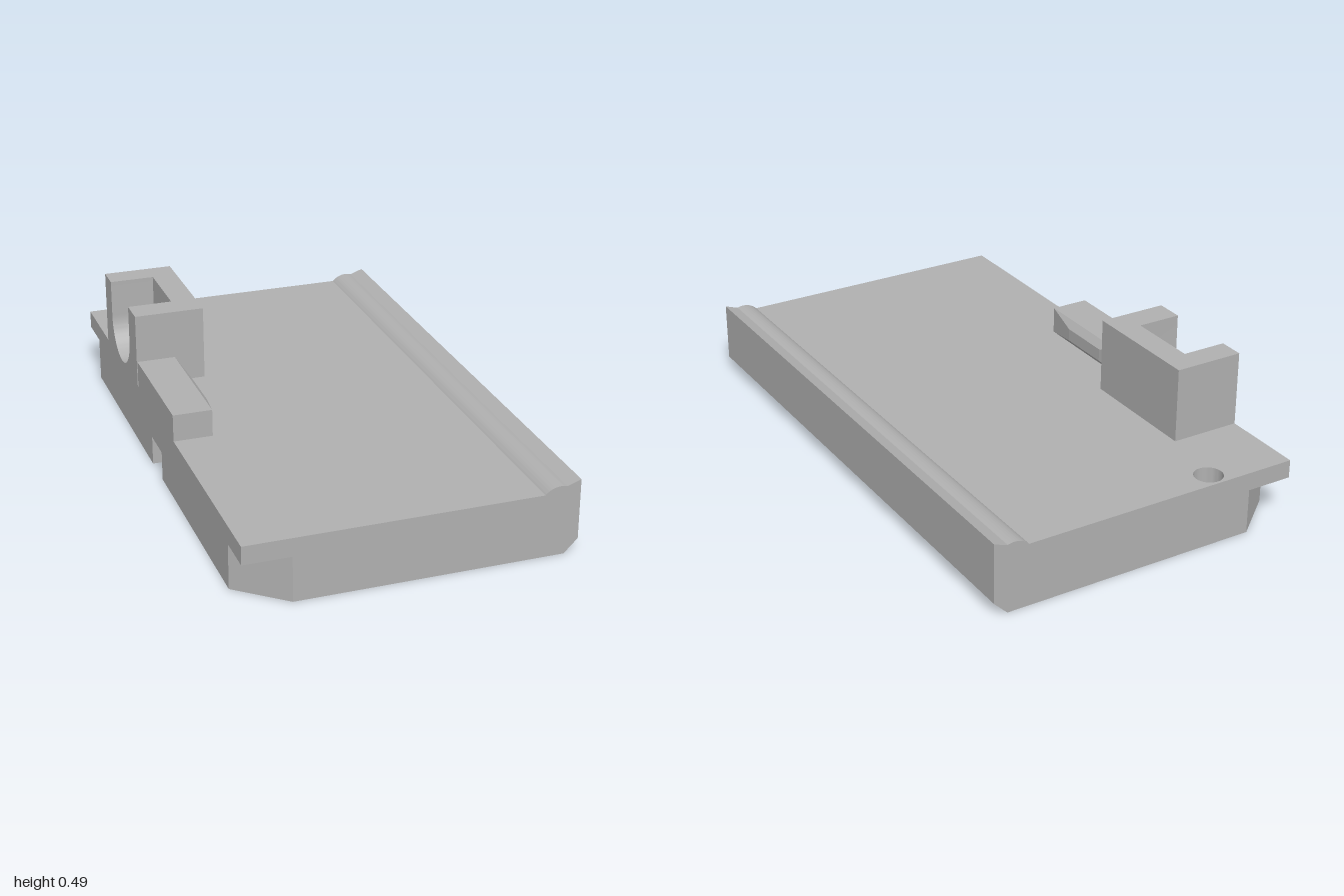
import * as THREE from 'three';
import { toCreasedNormals } from 'three/addons/utils/BufferGeometryUtils.js';

const grey = new THREE.MeshStandardMaterial({ color: 0xb0b0b0 });
grey.name = 'grey';

const points = (list) => list.map(([x, y]) => new THREE.Vector2(x, y));

function extrude(shape, depth) {
  const geo = new THREE.ExtrudeGeometry(shape, { depth, bevelEnabled: false, curveSegments: 24 });
  return toCreasedNormals(geo, 0.45);
}

// Horizontal layer from an outline in (x, -z), between two heights
function layer(outline, y0, y1, hole) {
  const shape = new THREE.Shape(points(outline));
  if (hole) {
    const path = new THREE.Path();
    path.absarc(hole.x, hole.y, hole.r, 0, Math.PI * 2, true);
    shape.holes.push(path);
  }
  return extrude(shape, y1 - y0).rotateX(-Math.PI / 2).translate(0, y0, 0);
}

export function createModel() {
  const group = new THREE.Group();
  const add = (name, geo) => {
    const mesh = new THREE.Mesh(geo, grey);
    mesh.name = name;
    group.add(mesh);
    return mesh;
  };

  const L = -0.57, R = 0.445;
  const pocketY = 0.105, slabY = 0.16, topY = 0.225;
  const hole = { x: -0.28, y: 0.94, r: 0.05 };

  // Lower body with cut corners and a T-shaped pocket opening on one side
  const cornerTop = [[-0.405, 1], [L, 0.86]];
  const cornerBottom = [[L, -0.86], [-0.405, -1]];
  const pocket = [
    [L, 0.065], [-0.46, 0.065], [-0.46, 0.135], [-0.125, 0.135],
    [-0.125, -0.135], [-0.46, -0.135], [-0.46, -0.065], [L, -0.065],
  ];
  add('lowerBody', layer([[R, -1], [R, 1], ...cornerTop, ...pocket, ...cornerBottom], 0, pocketY));
  add('middleBody', layer([[R, -1], [R, 1], ...cornerTop, ...cornerBottom], pocketY, slabY, hole));

  // Full-length top slab with a round blind hole
  add('topSlab', layer([[R, -1], [R, 1], [L, 1], [L, -1]], slabY, topY, hole));

  // Side rail with a rounded bead, raised lip and chamfered foot
  const rail = new THREE.Shape();
  rail.moveTo(R, 0);
  rail.lineTo(0.522, 0);
  rail.lineTo(0.57, 0.048);
  rail.lineTo(0.57, 0.262);
  rail.lineTo(0.522, 0.245);
  rail.bezierCurveTo(0.5, 0.253, 0.468, 0.25, R, topY);
  rail.closePath();
  add('sideRail', extrude(rail, 2).translate(0, 0, -1));

  // Post with a U-shaped slot, outline in (-z, y)
  const cradle = new THREE.Shape();
  cradle.moveTo(0.25, topY);
  cradle.lineTo(0.7, topY);
  cradle.lineTo(0.7, 0.492);
  cradle.lineTo(0.61, 0.492);
  cradle.lineTo(0.61, 0.36);
  cradle.absarc(0.48, 0.36, 0.13, 0, -Math.PI, true);
  cradle.lineTo(0.35, 0.492);
  cradle.lineTo(0.25, 0.492);
  cradle.closePath();
  add('postCradle', extrude(cradle, 0.16).rotateY(Math.PI / 2).translate(L, 0, 0));
  add('postBack', new THREE.BoxGeometry(0.09, 0.267, 0.45).translate(-0.365, 0.3585, -0.475));

  // Stop block with a tapered nose
  add('stopBlock', new THREE.BoxGeometry(0.138, 0.097, 0.474).translate(-0.501, 0.2735, -0.003));
  const nose = new THREE.BoxGeometry(0.022, 0.097, 0.474);
  const p = nose.attributes.position;
  for (let i = 0; i < p.count; i++) {
    if (p.getX(i) > 0) p.setXYZ(i, p.getX(i), p.getY(i) * 0.47, p.getZ(i) * 0.42);
  }
  nose.computeVertexNormals();
  add('stopNose', nose.translate(-0.421, 0.2735, -0.003));

  return group;
}
